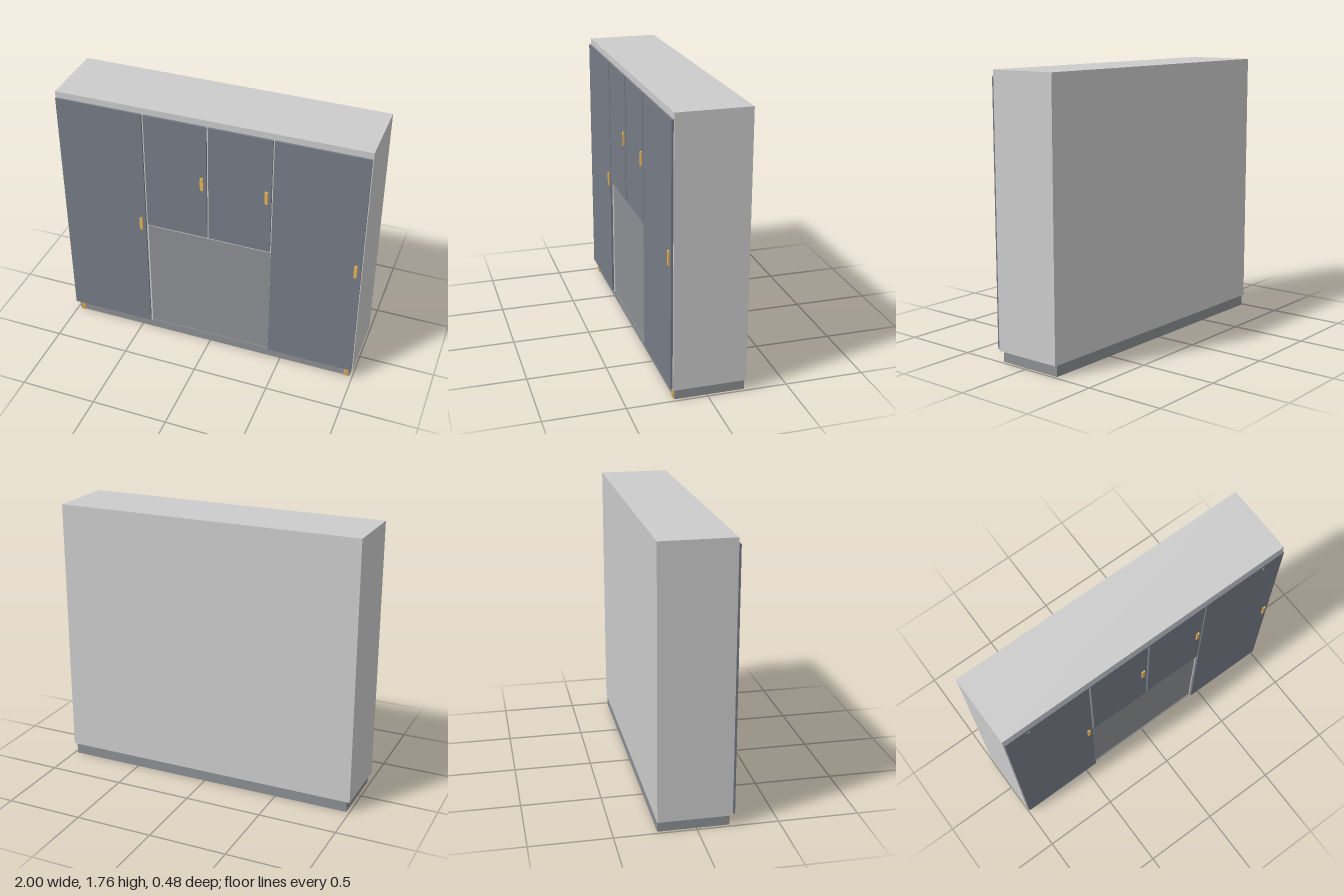
import * as THREE from 'three';

const material = (color) => new THREE.MeshStandardMaterial({ color });

export function createModel() {
  const model = new THREE.Group();
  const body = material(0xcccccc);
  const grey = material(0x8c8f92);
  const slate = material(0x767b86);
  const brass = material(0xe6b35a);

  // Box given by its limits on each axis
  const block = (name, mat, [x0, x1], [y0, y1], [z0, z1], parent = model) => {
    const mesh = new THREE.Mesh(new THREE.BoxGeometry(x1 - x0, y1 - y0, z1 - z0), mat);
    mesh.position.set((x0 + x1) / 2, (y0 + y1) / 2, (z0 + z1) / 2);
    mesh.name = name;
    parent.add(mesh);
    return mesh;
  };

  // Plinth and cabinet body
  block('plinth', grey, [-0.98, 0.98], [0, 0.07], [-0.236, 0.2]);
  block('cabinetBody', body, [-1, 1], [0.07, 1.76], [-0.24, 0.205]);

  // Front frame around the recessed lower panel
  const frame = new THREE.Group();
  frame.name = 'frontFrame';
  model.add(frame);
  const frameZ = [0.205, 0.216];
  block('leftStile', body, [0.415, 1], [0.07, 1.76], frameZ, frame);
  block('rightStile', body, [-1, -0.415], [0.07, 1.76], frameZ, frame);
  block('upperFrame', body, [-0.415, 0.415], [0.887, 1.76], frameZ, frame);
  block('lowerPanel', grey, [-0.415, 0.415], [0.07, 0.887], [0.204, 0.21]);
  block('lowerPanelLip', grey, [-0.415, 0.415], [0.068, 0.078], [0.205, 0.216]);

  // Doors: name, x limits, y limits, handle centre
  const doors = [
    ['rightTallDoor', [-0.995, -0.425], [0.08, 1.72], -0.456, 0.905],
    ['leftTallDoor', [0.42, 0.995], [0.08, 1.72], 0.961, 0.905],
    ['rightUpperDoor', [-0.412, -0.006], [0.905, 1.72], -0.036, 1.311],
    ['leftUpperDoor', [0.006, 0.41], [0.905, 1.72], 0.38, 1.311],
  ];
  for (const [name, x, y, hx, hy] of doors) {
    const door = new THREE.Group();
    door.name = name;
    model.add(door);
    block('doorPanel', slate, x, y, [0.218, 0.231], door);
    block('handle', brass, [hx - 0.01, hx + 0.01], [hy - 0.045, hy + 0.045], [0.23, 0.24], door);
  }

  for (const s of [-1, 1]) {
    // Brass strips at the plinth corners
    for (const x of [0.947, 0.962]) {
      block('plinthStrip', brass, [s * x - 0.005, s * x + 0.005], [0, 0.068], [0.198, 0.208]);
    }
    // Small hooks near the top of the tall doors
    block('hookBar', slate, [s * 0.84 - 0.011, s * 0.84 + 0.011], [1.687, 1.692], [0.23, 0.235]);
    const peg = new THREE.Mesh(new THREE.CylinderGeometry(0.004, 0.004, 0.01, 12), slate);
    peg.rotation.x = Math.PI / 2;
    peg.position.set(s * 0.84, 1.688, 0.235);
    peg.name = 'hookPeg';
    model.add(peg);
  }
  return model;
}
